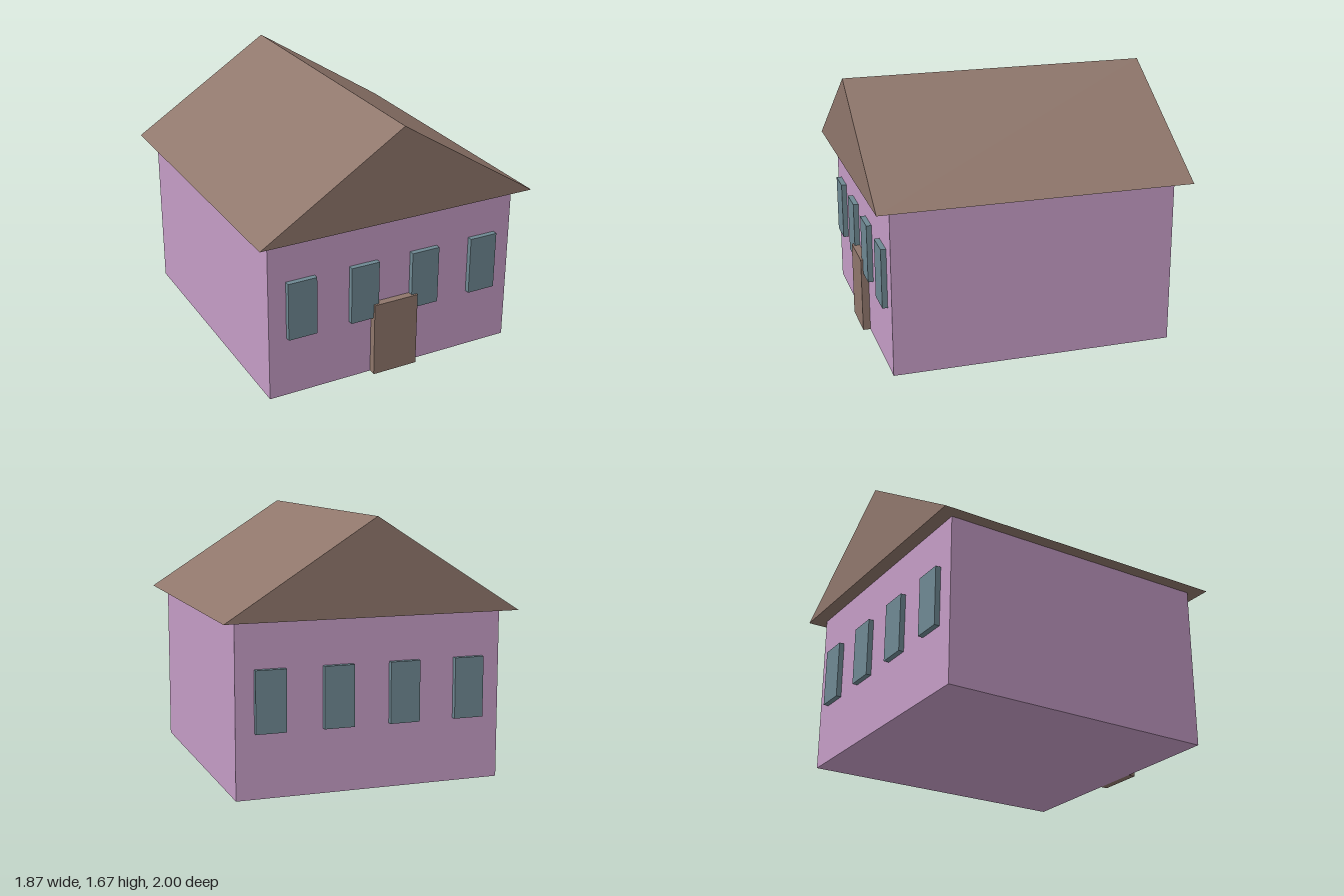
import * as THREE from 'three';

export function createModel() {
  const house = new THREE.Group();
  house.name = 'house';

  const material = (name, color) => {
    const m = new THREE.MeshStandardMaterial({ color });
    m.name = name;
    return m;
  };
  const lilac = material('lilac wall', 0xc49cc5);
  const brown = material('brown wood', 0x8f766b);
  const glass = material('blue grey glass', 0x6e8892);

  const add = (name, geometry, mat, x, y, z) => {
    const mesh = new THREE.Mesh(geometry, mat);
    mesh.name = name;
    mesh.position.set(x, y, z);
    house.add(mesh);
  };

  const wallHeight = 1.07, wallDepth = 0.907;

  // Walls
  add('walls', new THREE.BoxGeometry(1.7, wallHeight, wallDepth * 2), lilac, 0, wallHeight / 2, 0);

  // Solid gable roof, ridge running front to back
  const gable = new THREE.Shape([
    new THREE.Vector2(-0.936, 0),
    new THREE.Vector2(0.936, 0),
    new THREE.Vector2(0, 0.595),
  ]);
  add('roof', new THREE.ExtrudeGeometry(gable, { depth: 2, bevelEnabled: false }), brown, 0, wallHeight, -1);

  // Door, standing proud of the front wall
  add('door', new THREE.BoxGeometry(0.306, 0.495, 0.048), brown, 0, 0.2475, wallDepth + 0.024);

  // Four raised windows on the front and on the back
  const pane = new THREE.BoxGeometry(0.191, 0.382, 0.034);
  for (const [side, sign] of [['front', 1], ['back', -1]]) {
    [-0.638, -0.2125, 0.2125, 0.638].forEach((x, i) => {
      add(`${side}Window${i + 1}`, pane, glass, x, 0.592, sign * (wallDepth + 0.017));
    });
  }

  return house;
}
